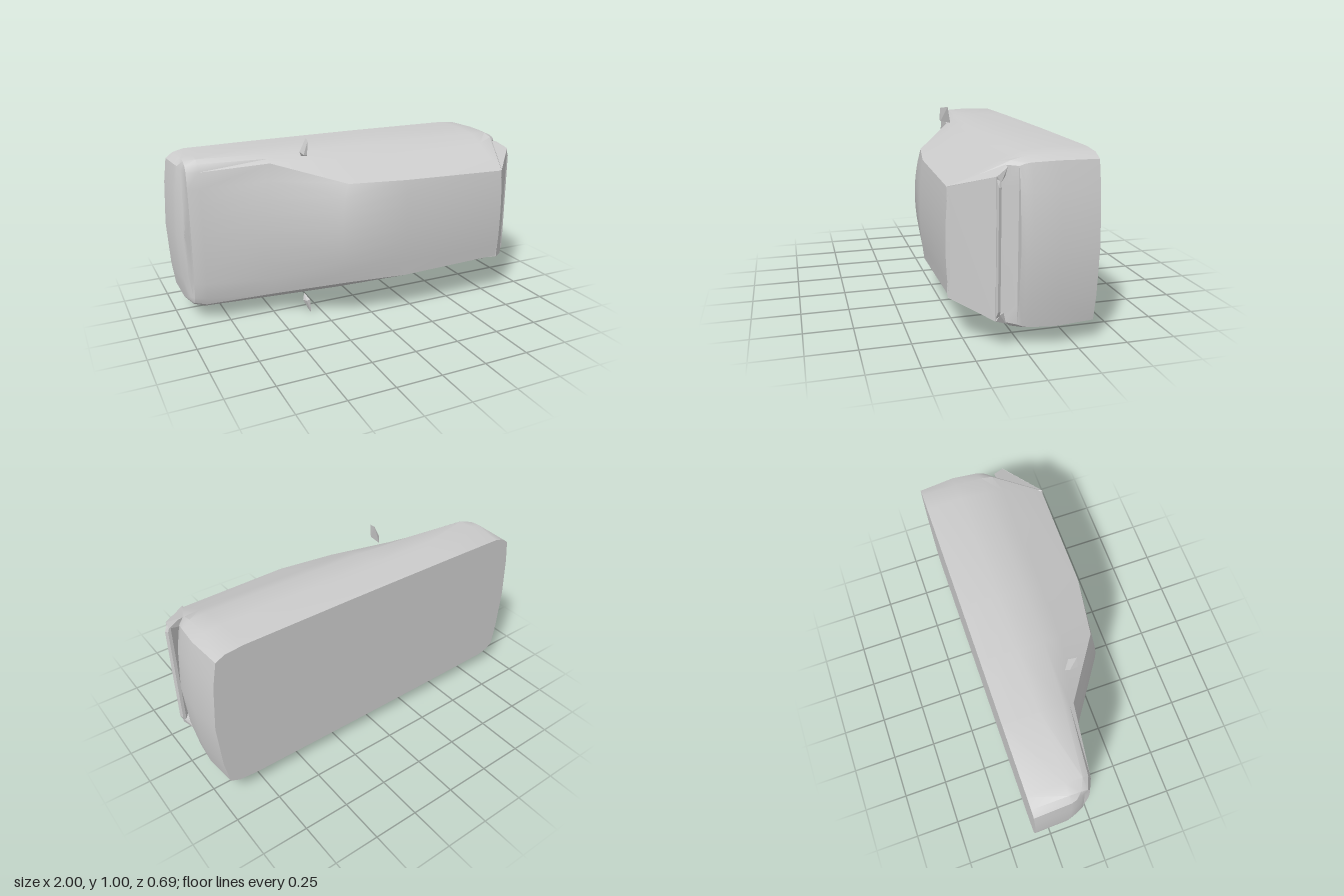
import * as THREE from 'three';
import { toCreasedNormals } from 'three/addons/utils/BufferGeometryUtils.js';
import { ConvexGeometry } from 'three/addons/geometries/ConvexGeometry.js';

const MID = 0.51;    // centre line of the car in y; its roof faces +z, its nose -x
const FLOOR = -0.345;
const BELT = -0.15;
const TOP_STEPS = 8;

// Stations along x: [x, floor w, belt w, shoulder w, z, waist w, z, top edge w, z, crown, bow]
const stations = [
  [-0.97, 0.37, 0.38, 0.375, -0.12, 0.36, -0.09, 0.34, -0.07, 0.01, 0],
  [-0.93, 0.40, 0.41, 0.405, -0.09, 0.385, -0.055, 0.35, -0.04, 0.015, 0],
  [-0.87, 0.415, 0.42, 0.415, -0.06, 0.395, -0.03, 0.355, -0.015, 0.02, 0],
  [-0.50, 0.42, 0.428, 0.415, -0.02, 0.395, 0.01, 0.375, 0.035, 0.018, -0.06],
  [-0.15, 0.423, 0.43, 0.415, 0, 0.375, 0.10, 0.28, 0.27, 0.03, -0.05],
  [0.17, 0.425, 0.433, 0.415, 0, 0.375, 0.10, 0.276, 0.32, 0.02, 0],
  [0.79, 0.425, 0.43, 0.415, 0, 0.372, 0.10, 0.26, 0.325, 0.015, 0],
  [0.89, 0.415, 0.42, 0.41, 0, 0.395, 0.06, 0.375, 0.085, 0, 0],
  [0.955, 0.39, 0.395, 0.39, -0.02, 0.385, 0.01, 0.375, 0.035, 0, 0],
];

// One closed cross-section: up one side, over the crowned top, down the other
function section([x, wf, wb, ws, zs, ww, zw, wt, zt, crown, bow]) {
  const side = [[wf, FLOOR], [wb, BELT], [ws, zs], [ww, zw]];
  const ring = side.map(([w, z]) => [x, w, z]);
  for (let i = 0; i <= TOP_STEPS; i++) {
    const t = 1 - (2 * i) / TOP_STEPS;
    const k = 1 - t * t;
    ring.push([x + bow * k, wt * t, zt + crown * k]);
  }
  side.reverse().forEach(([w, z]) => ring.push([x, -w, z]));
  // Round the nose and tail in profile
  return ring.map(([px, w, z]) => {
    if (x < -0.95) px += 0.03 * Math.max(0, (z + 0.2) / 0.12) ** 2;
    if (x > 0.93) px -= 0.02 * ((z + 0.17) / 0.2) ** 2;
    return [px, MID + w, z];
  });
}

// Narrower copies of an end section, bowed outwards to close the nose or tail
function cap(ring, reach) {
  return [0.65, 0].map((s) =>
    ring.map(([x, y, z]) => [x + reach * (1 - s * s), MID + (y - MID) * s, z]));
}

function bodyGeometry() {
  const middle = stations.map(section);
  const rings = [...cap(middle[0], -0.03).reverse(), ...middle, ...cap(middle.at(-1), 0.045)];
  const n = rings[0].length;
  const index = [];
  for (let i = 0; i < rings.length - 1; i++) {
    for (let j = 0; j < n; j++) {
      const a = i * n + j;
      const b = i * n + ((j + 1) % n);
      index.push(a, b, a + n, b, b + n, a + n);
    }
  }
  const geometry = new THREE.BufferGeometry();
  geometry.setAttribute('position', new THREE.Float32BufferAttribute(rings.flat(2), 3));
  geometry.setIndex(index);
  return toCreasedNormals(geometry, 0.5);
}

// Convex solid from [x, half-width, z] points, on either side of the centre line
function hull(points, side = 1) {
  return new ConvexGeometry(points.map(([x, w, z]) => new THREE.Vector3(x, MID + side * w, z)));
}

// Convex solid spanning the full width between mirrored points
function span(points) {
  return hull([...points, ...points.map(([x, w, z]) => [x, -w, z])]);
}

export function createModel() {
  const group = new THREE.Group();
  const material = new THREE.MeshStandardMaterial({ color: 0xcccccc });
  const add = (name, geometry) => {
    const mesh = new THREE.Mesh(geometry, material);
    mesh.name = name;
    group.add(mesh);
  };

  add('carBody', bodyGeometry());

  // Sloping rear window panel overhanging the tail
  add('rearWindow', span([
    [0.785, 0.265, 0.332], [0.785, 0.262, 0.31], [0.957, 0.338, 0.147], [0.945, 0.335, 0.125],
  ]));

  // Lip along the lower edge of the rear window
  add('rearLip', span([
    [0.95, 0.335, 0.147], [0.972, 0.29, 0.14], [0.945, 0.335, 0.125], [0.962, 0.29, 0.125],
  ]));

  for (const side of [1, -1]) {
    const label = side > 0 ? 'upper' : 'lower';
    // Rear pillar joining the window panel to the body
    add(label + 'RearPillar', hull([
      [0.785, 0.268, 0.33], [0.80, 0.255, 0.31], [0.957, 0.338, 0.145],
      [0.89, 0.376, 0.085], [0.92, 0.37, 0.085], [0.90, 0.325, 0.09], [0.955, 0.31, 0.125],
    ], side));
    // Door mirror
    add(label + 'DoorMirror', hull([
      [-0.315, 0.495, 0.115], [-0.31, 0.50, 0.07], [-0.33, 0.40, 0.05],
      [-0.345, 0.43, 0.07], [-0.34, 0.42, 0.115], [-0.32, 0.415, 0.113],
    ], side));
  }
  return group;
}
